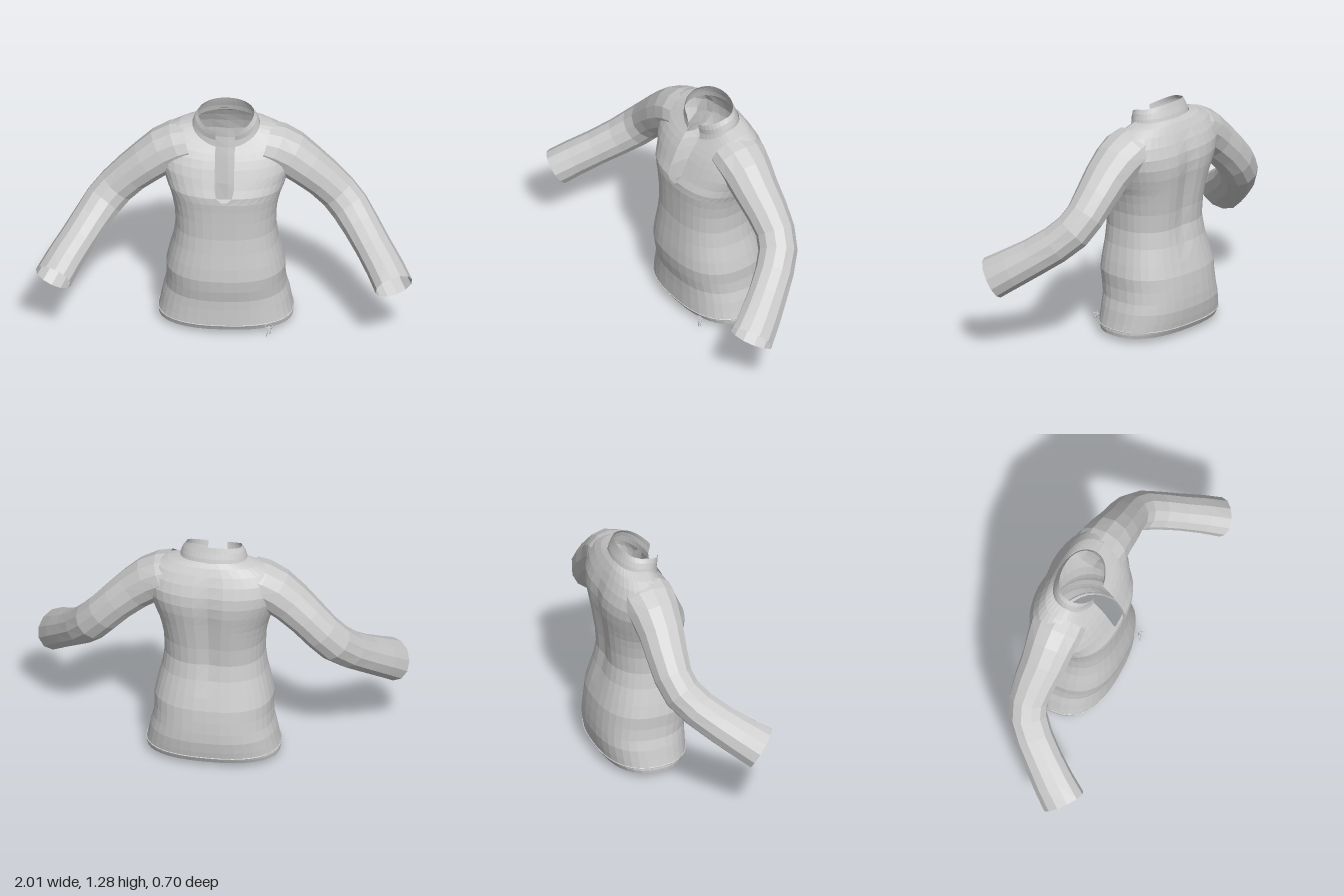
import * as THREE from 'three';

const cloth = new THREE.MeshStandardMaterial({ color: 0xcccccc, flatShading: true, side: THREE.DoubleSide });

// Skin a list of equally long point rows; rows run along the garment.
function skin(rows, name) {
  const n = rows[0].length, pos = [], idx = [];
  rows.forEach(row => row.forEach(p => pos.push(p.x, p.y, p.z)));
  for (let i = 0; i < rows.length - 1; i++) {
    for (let j = 0; j < n - 1; j++) {
      const a = i * n + j, b = a + n;
      idx.push(a, a + 1, b + 1, a, b + 1, b);
    }
  }
  const geo = new THREE.BufferGeometry();
  geo.setAttribute('position', new THREE.Float32BufferAttribute(pos, 3));
  geo.setIndex(idx);
  geo.computeVertexNormals();
  const mesh = new THREE.Mesh(geo, cloth);
  mesh.name = name;
  return mesh;
}

// Body section; gap is the half width of the open neck slit at the front.
// ys, yf, yb are heights at side, front, back; zf, zs, zb the matching depths.
// A power below 1 makes the section fuller than an ellipse.
function bodyRing([hw, ys, yf, yb, zf, zs, zb], gap = 0, power = 0.82) {
  const segments = 36;
  const a0 = Math.asin(Math.pow(gap / hw, 1 / power));
  const row = [];
  for (let j = 0; j <= segments; j++) {
    const a = a0 + (j / segments) * (2 * Math.PI - 2 * a0);
    const s = Math.sin(a), c = Math.cos(a);
    const x = hw * Math.sign(s) * Math.pow(Math.abs(s), power);
    let z = zs + (c > 0 ? zf - zs : zb - zs) * Math.pow(Math.abs(c), power);
    const y = ys + ((c > 0 ? yf : yb) - ys) * Math.pow(Math.abs(c), 1.3);
    // shallow hollow along the spine between fuller shoulder blades
    if (c < 0 && y > 0.4 && y < 1.16) {
      const fade = Math.sin(Math.PI * (y - 0.4) / 0.76);
      z += fade * (0.022 * Math.exp(-((x / 0.06) ** 2)) + 0.014 * c);
    }
    row.push(new THREE.Vector3(x - 0.005, y, z));
  }
  return row;
}
const level = (y, hw, zf, zb) => [hw, y, y, y, zf, (zf + zb) / 2, zb];

// Sleeve sections from the shoulder yoke to the cuff:
// centre, radius across, radius front to back
const sleeveRings = [
  [0.20, 1.075, -0.112, 0.108, 0.145],
  [0.26, 1.055, -0.112, 0.118, 0.148],
  [0.335, 1.01, -0.108, 0.124, 0.136],
  [0.42, 0.942, -0.105, 0.116, 0.124],
  [0.51, 0.86, -0.11, 0.108, 0.114],
  [0.59, 0.775, -0.108, 0.106, 0.105],
  [0.655, 0.70, -0.08, 0.106, 0.105],
  [0.72, 0.625, -0.012, 0.1, 0.105],
  [0.79, 0.55, 0.082, 0.096, 0.108],
  [0.855, 0.482, 0.178, 0.098, 0.115],
  [0.908, 0.42, 0.268, 0.1, 0.122],
];

function sleeve(side) {
  const centres = sleeveRings.map(r => new THREE.Vector3(r[0], r[1], r[2]));
  const rows = sleeveRings.map((r, i) => {
    const t = centres[Math.min(i + 1, centres.length - 1)].clone()
      .sub(centres[Math.max(i - 1, 0)]).normalize();
    const w = new THREE.Vector3(0, 0, 1).addScaledVector(t, -t.z).normalize();
    const v = new THREE.Vector3().crossVectors(t, w);
    return Array.from({ length: 13 }, (_, j) => {
      const a = (j / 12) * Math.PI * 2;
      return centres[i].clone().addScaledVector(w, r[4] * Math.cos(a)).addScaledVector(v, r[3] * Math.sin(a));
    });
  });
  const mesh = skin(rows, side > 0 ? 'leftSleeve' : 'rightSleeve');
  mesh.scale.x = side;
  return mesh;
}

function cord(points, name, closed = false, radius = 0.0025) {
  const curve = new THREE.CatmullRomCurve3(points.map(p => new THREE.Vector3(...p)), closed);
  const mesh = new THREE.Mesh(new THREE.TubeGeometry(curve, points.length * 4, radius, 5, closed), cloth);
  mesh.name = name;
  return mesh;
}

export function createModel() {
  const group = new THREE.Group();
  group.name = 'pullover';

  // Closed lower body, hem to the foot of the neck slit
  const lower = [
    level(0.065, 0.358, 0.14, -0.335),
    level(0.10, 0.35, 0.14, -0.342),
    level(0.16, 0.338, 0.14, -0.351),
    level(0.215, 0.322, 0.142, -0.35),
    level(0.28, 0.316, 0.156, -0.345),
    level(0.35, 0.318, 0.165, -0.337),
    level(0.42, 0.303, 0.16, -0.317),
    level(0.51, 0.28, 0.15, -0.288),
    level(0.60, 0.268, 0.142, -0.27),
    level(0.70, 0.272, 0.143, -0.275),
    level(0.77, 0.285, 0.145, -0.284),
    level(0.82, 0.298, 0.148, -0.291),
  ];
  group.add(skin(lower.map(r => bodyRing(r)), 'lowerBody'));

  // Chest and shoulders, open down the front
  const upper = [
    lower[lower.length - 1],
    level(0.86, 0.314, 0.145, -0.297),
    [0.33, 0.91, 0.90, 0.91, 0.125, -0.09, -0.306],
    [0.355, 0.98, 0.95, 0.97, 0.103, -0.1, -0.312],
    [0.365, 1.04, 1.00, 1.03, 0.08, -0.11, -0.308],
    [0.355, 1.10, 1.04, 1.09, 0.057, -0.11, -0.29],
    [0.315, 1.147, 1.07, 1.14, 0.036, -0.11, -0.268],
    [0.25, 1.178, 1.09, 1.18, 0.02, -0.11, -0.246],
    [0.18, 1.193, 1.11, 1.205, 0.005, -0.1, -0.226],
  ];
  const gaps = [0, 0.042];
  group.add(skin(upper.map((r, i) => bodyRing(r, gaps[i] ?? 0.052)), 'chestAndShoulders'));

  // Stand collar with a folded lower edge
  const collar = [
    [0.186, 1.168, 1.10, 1.195, 0.012, -0.1, -0.23],
    [0.176, 1.208, 1.14, 1.225, 0.008, -0.1, -0.222],
    [0.166, 1.235, 1.17, 1.255, 0.016, -0.1, -0.21],
    [0.15, 1.256, 1.198, 1.285, 0.022, -0.1, -0.2],
  ];
  group.add(skin(collar.map(r => bodyRing(r, 0.052, 0.93)), 'collar'));

  // Small facing at the foot of the slit
  const facing = [[0.8, 0.012, 0.142], [0.83, 0.036, 0.138], [0.85, 0.046, 0.128]]
    .map(([y, w, z]) => [-w, 0, w].map(x => new THREE.Vector3(x - 0.005, y, z)));
  group.add(skin(facing, 'slitFacing'));

  // Hem band and the cord lying above it
  const hem = [
    level(0.03, 0.358, 0.122, -0.318),
    level(0.048, 0.36, 0.13, -0.327),
    level(0.06, 0.358, 0.137, -0.333),
    level(0.065, 0.35, 0.132, -0.328),
  ];
  group.add(skin(hem.map(r => bodyRing(r)), 'hemBand'));
  const cordPath = bodyRing(level(0.063, 0.36, 0.141, -0.337)).slice(0, -1).map(p => p.toArray());
  group.add(cord(cordPath, 'hemCord', true));

  // Bow of the hem cord
  const bow = new THREE.Group();
  bow.name = 'cordBow';
  bow.position.set(0.235, 0.06, 0.122);
  for (const s of [-1, 1]) {
    bow.add(cord([[0, 0, 0], [s * 0.014, 0.014, 0.012], [s * 0.02, 0.004, 0.016], [s * 0.01, -0.006, 0.01]], 'bowLoop', true));
    bow.add(cord([[0, 0, 0], [s * 0.006, -0.02, 0.016], [s * 0.01 - 0.004, s > 0 ? -0.04 : -0.057, 0.012]], 'bowTail'));
  }
  group.add(bow);

  group.add(sleeve(1), sleeve(-1));
  return group;
}
